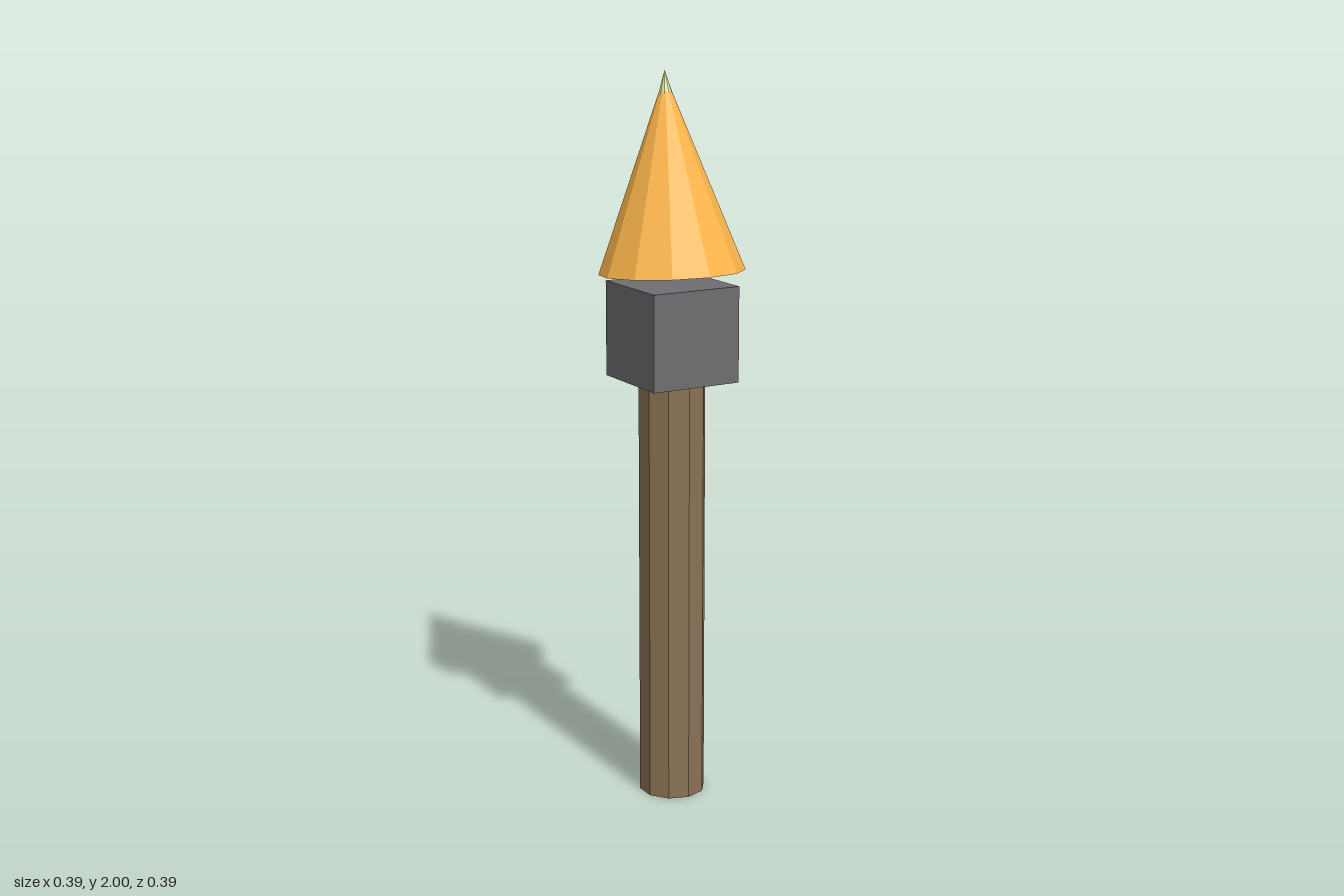
import * as THREE from 'three';

const material = (color) => new THREE.MeshStandardMaterial({ color, flatShading: true });

function addPart(parent, name, geometry, color, y) {
  const mesh = new THREE.Mesh(geometry, material(color));
  mesh.name = name;
  mesh.position.y = y;
  parent.add(mesh);
  return mesh;
}

export function createModel() {
  const torch = new THREE.Group();
  torch.name = 'torch';

  // Ten-sided wooden handle, ending inside the holder block
  addPart(torch, 'handle', new THREE.CylinderGeometry(0.092, 0.092, 1.2, 10), 0x8b7355, 0.6);

  // Square holder block
  addPart(torch, 'holder', new THREE.BoxGeometry(0.26, 0.26, 0.26), 0x6e6e72, 1.31);

  // Flame floats just above the holder and leans slightly backwards
  const flame = new THREE.Group();
  flame.name = 'flame';
  flame.position.y = 1.47;
  flame.rotation.x = -0.072;
  torch.add(flame);

  // Outer flame, with the pale core breaking through at its tip
  addPart(flame, 'outerFlame', new THREE.ConeGeometry(0.196, 0.52, 12), 0xffb84d, 0.26);
  addPart(flame, 'flameCore', new THREE.ConeGeometry(0.1, 0.325, 10), 0xe0e8a8, 0.531 - 0.1625);

  return torch;
}
